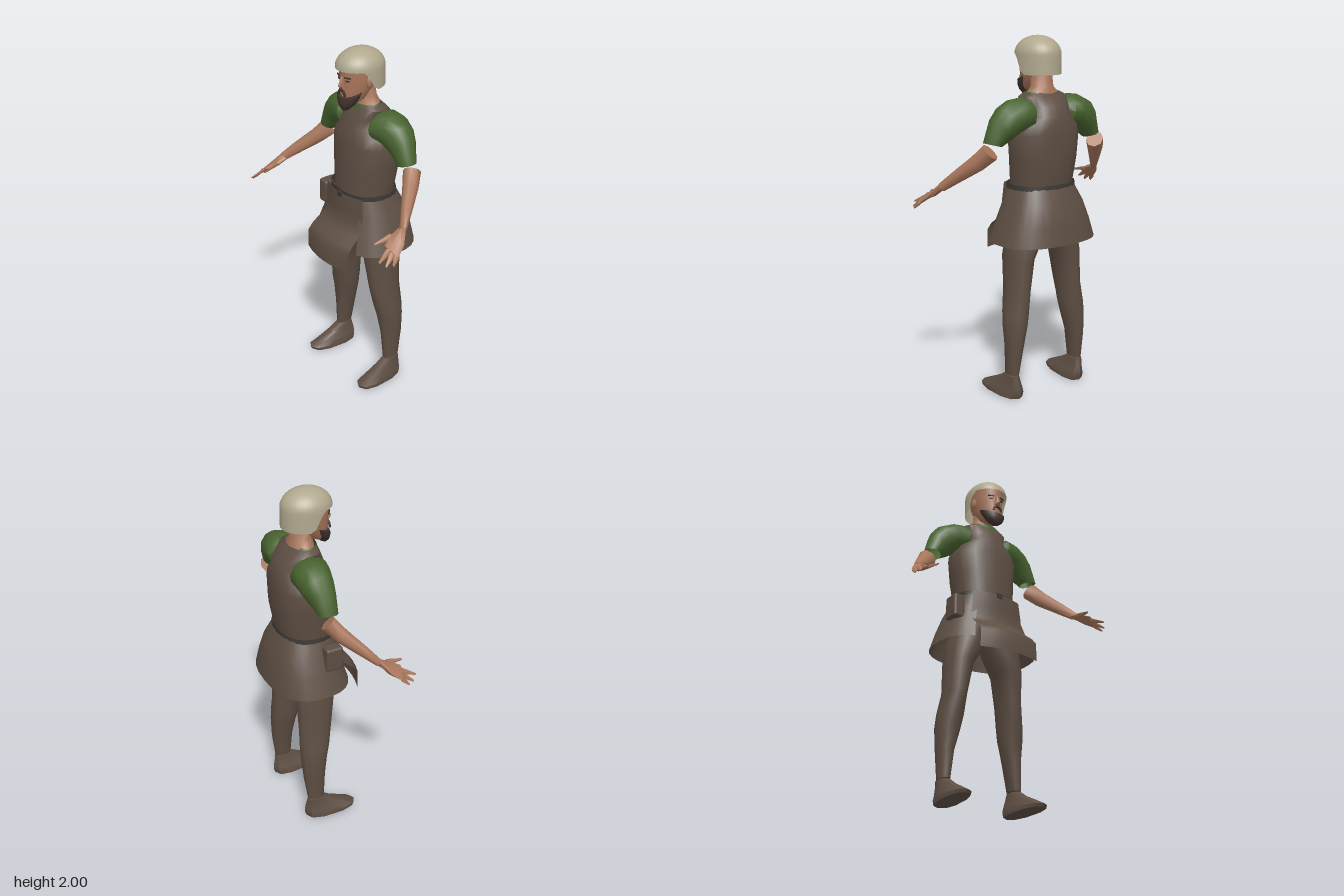
import * as THREE from 'three';
import { mergeVertices, toCreasedNormals } from 'three/addons/utils/BufferGeometryUtils.js';
import { RoundedBoxGeometry } from 'three/addons/geometries/RoundedBoxGeometry.js';

const mat = (name, color) => {
  const m = new THREE.MeshStandardMaterial({ color, side: THREE.DoubleSide });
  m.name = name;
  return m;
};
const M = {
  brown: mat('brown leather', 0x5d4e43),
  green: mat('green cloth', 0x48632f),
  skin: mat('skin', 0xa9775c),
  beard: mat('dark hair', 0x43342f),
  helmet: mat('pale helmet', 0xb0a88e),
  belt: mat('dark belt', 0x3d3835),
};

// Cross-section: centre c with half axes a and b
const sec = (c, a, b) => ({ c, a, b });
// Level cross-section between x0..x1 and zBack..zFront
const level = (y, x0, x1, zf, zb, skew = 0, tilt = 0) =>
  sec([(x0 + x1) / 2, y, (zf + zb) / 2], [(x1 - x0) / 2, 0, 0], [skew, tilt, (zf - zb) / 2]);
const body = (y, r, zf, zb, tilt = 0) => level(y, -r, r, zf, zb, 0, tilt);

// Skin a surface over cross-sections; gap leaves an opening at the front
function loft(sections, { n = 12, p = 1, gap = 0, caps = false, side = 1, crease = 0.9 } = {}) {
  const pos = [], idx = [];
  const cols = gap ? n + 1 : n;
  const pw = v => Math.sign(v) * Math.abs(v) ** p;
  for (const { c, a, b } of sections) {
    for (let i = 0; i < cols; i++) {
      const t = gap + (i / n) * (Math.PI * 2 - 2 * gap);
      const s = pw(Math.sin(t)), k = pw(Math.cos(t));
      pos.push(side * (c[0] + a[0] * s + b[0] * k), c[1] + a[1] * s + b[1] * k, c[2] + a[2] * s + b[2] * k);
    }
  }
  for (let r = 0; r < sections.length - 1; r++) {
    for (let i = 0; i < n; i++) {
      const j = (i + 1) % cols, u = r * cols, v = u + cols;
      idx.push(u + i, v + i, v + j, u + i, v + j, u + j);
    }
  }
  if (caps) {
    [0, sections.length - 1].forEach((r, e) => {
      const { c } = sections[r], m = pos.length / 3, u = r * cols;
      pos.push(side * c[0], c[1], c[2]);
      for (let i = 0; i < n; i++) {
        const j = (i + 1) % cols;
        if (e) idx.push(m, u + j, u + i);
        else idx.push(m, u + i, u + j);
      }
    });
  }
  // Turn the faces outward
  const P = i => new THREE.Vector3().fromArray(pos, i * 3);
  const mid = new THREE.Vector3();
  for (let i = 0; i < pos.length / 3; i++) mid.addScaledVector(P(i), 3 / pos.length);
  let vol = 0;
  for (let i = 0; i < idx.length; i += 3) {
    const [A, B, C] = [0, 1, 2].map(k => P(idx[i + k]).sub(mid));
    vol += A.dot(B.cross(C));
  }
  if (vol < 0) idx.reverse();
  const g = new THREE.BufferGeometry();
  g.setAttribute('position', new THREE.Float32BufferAttribute(pos, 3));
  g.setIndex(idx);
  return toCreasedNormals(g, crease);
}

// Dome with a brim that drops over the ears and nape
function helmetGeometry() {
  let g = new THREE.SphereGeometry(1, 28, 14, 0, Math.PI * 2, 0, Math.PI * 0.7);
  const p = g.attributes.position;
  for (let i = 0; i < p.count; i++) {
    const x = p.getX(i), y = p.getY(i), z = p.getZ(i);
    const r = Math.hypot(x, z) || 1, low = y < -1e-4;
    const k = low ? 1 / r : 1;
    const drop = 0.105 * THREE.MathUtils.smoothstep(-z / r, -0.4, 0.15);
    p.setXYZ(i, x * k * 0.119, low ? 1.9 + (drop * y) / 0.588 : 1.9 + 0.1 * y, -0.04 + z * k * 0.14);
  }
  g.deleteAttribute('uv');
  g.deleteAttribute('normal');
  g = mergeVertices(g, 1e-5);
  g.computeVertexNormals();
  return g;
}

// Hanging front panel, swept from a side profile of [y, z, half width]
function flapGeometry() {
  const rows = [[1.2, 0.1, 0.155], [1.1, 0.105, 0.165], [1.03, 0.105, 0.17], [0.99, 0.14, 0.175],
    [0.95, 0.19, 0.18], [0.91, 0.222, 0.183], [0.805, 0.222, 0.186]];
  const g = new THREE.PlaneGeometry(2, 1, 6, rows.length - 1);
  const p = g.attributes.position;
  for (let i = 0; i < p.count; i++) {
    const u = p.getX(i), [y, z, w] = rows[Math.floor(i / 7)];
    p.setXYZ(i, u * w, y, z - 0.034 * u * u);
  }
  g.computeVertexNormals();
  return g;
}

export function createModel() {
  const model = new THREE.Group();
  const add = (name, geo, m, at = [0, 0, 0]) => {
    const mesh = new THREE.Mesh(geo, m);
    mesh.name = name;
    mesh.position.set(...at);
    model.add(mesh);
    return mesh;
  };

  // Apron body, skirt, front panel, belt and pouch
  add('apronBody', loft([
    body(1.18, 0.172, 0.075, -0.21), body(1.35, 0.188, 0.072, -0.24), body(1.48, 0.202, 0.066, -0.24),
    body(1.53, 0.185, 0.06, -0.238), body(1.58, 0.135, 0.048, -0.23), body(1.63, 0.132, 0.028, -0.21),
    body(1.68, 0.145, 0.005, -0.16), body(1.7, 0.108, -0.005, -0.14)], { n: 20, p: 0.85 }), M.brown);
  add('skirt', loft([
    body(1.2, 0.178, 0.08, -0.215), body(1.1, 0.225, 0.095, -0.262),
    body(1.0, 0.264, 0.12, -0.285), body(0.89, 0.302, 0.155, -0.302)], { n: 22, p: 0.78, gap: 0.54 }), M.brown);
  add('frontPanel', flapGeometry(), M.brown);
  add('belt', loft([body(1.183, 0.195, 0.09, -0.222), body(1.21, 0.193, 0.09, -0.22)], { n: 22, p: 0.85 }), M.belt);
  add('buckle', new THREE.BoxGeometry(0.035, 0.03, 0.012), M.belt, [0, 1.19, 0.1]);
  add('pouch', new RoundedBoxGeometry(0.07, 0.14, 0.1, 2, 0.015), M.brown, [-0.23, 1.093, 0]);

  // Neck and head
  add('neck', loft([
    body(1.655, 0.125, -0.01, -0.15), body(1.7, 0.095, -0.01, -0.145), body(1.73, 0.064, -0.015, -0.135),
    body(1.83, 0.06, 0, -0.12)], { n: 14 }), M.skin);
  add('collar', loft([body(1.665, 0.13, 0.012, -0.155), body(1.705, 0.1, 0.002, -0.14)], { n: 14 }), M.green);
  add('face', loft([
    body(1.705, 0.035, 0.07, 0), body(1.735, 0.06, 0.075, -0.06), body(1.79, 0.074, 0.082, -0.12),
    body(1.83, 0.083, 0.078, -0.14), body(1.86, 0.086, 0.082, -0.15), body(1.92, 0.086, 0.08, -0.15)],
  { n: 16, caps: true }), M.skin);
  add('nose', loft([
    body(1.803, 0.018, 0.092, 0.06), body(1.815, 0.017, 0.104, 0.06), body(1.865, 0.008, 0.087, 0.06)],
  { n: 6, caps: true }), M.skin);
  add('beard', loft([
    body(1.682, 0.022, 0.078, 0.035, -0.005), body(1.71, 0.052, 0.09, 0, -0.012),
    body(1.74, 0.07, 0.093, -0.02, -0.015), body(1.772, 0.079, 0.087, -0.035, -0.024)],
  { n: 14, caps: true }), M.beard);
  const moustache = add('moustache', new THREE.TorusGeometry(0.027, 0.007, 5, 10, Math.PI), M.beard, [0, 1.762, 0.083]);
  moustache.scale.y = 1.1;
  add('helmet', helmetGeometry(), M.helmet);

  for (const s of [1, -1]) {
    const side = s > 0 ? 'left' : 'right';

    // Eyes, brows and ears
    add(side + 'Eye', new THREE.BoxGeometry(0.022, 0.007, 0.006), M.beard, [s * 0.036, 1.846, 0.072]).rotation.y = s * 0.4;
    add(side + 'Brow', new THREE.BoxGeometry(0.036, 0.006, 0.008), M.beard, [s * 0.038, 1.864, 0.073]).rotation.y = s * 0.4;
    add(side + 'Ear', new THREE.SphereGeometry(1, 8, 6), M.skin, [s * 0.092, 1.835, -0.03]).scale.set(0.014, 0.035, 0.022);

    // Short sleeve
    add(side + 'Sleeve', loft([
      sec([0.105, 1.6, -0.095], [0, 0.06, 0], [0, 0, 0.075]),
      sec([0.135, 1.595, -0.095], [0.015, 0.088, 0], [0, 0, 0.108]),
      sec([0.205, 1.587, -0.1], [0.015, 0.09, 0], [0, 0, 0.1]),
      sec([0.262, 1.555, -0.1], [0.035, 0.085, 0], [0, 0, 0.085]),
      sec([0.3, 1.515, -0.095], [0.045, 0.065, 0], [0, 0, 0.07]),
      sec([0.337, 1.443, -0.085], [0.049, 0.013, 0], [0, 0, 0.052])], { side: s }), M.green);

    // Forearm and hand
    add(side + 'Forearm', loft([
      sec([0.362, 1.41, -0.1], [0.046, 0.03, 0], [-0.014, 0.024, 0.036]),
      sec([0.41, 1.35, -0.05], [0.038, 0.027, 0], [-0.014, 0.022, 0.034]),
      sec([0.49, 1.265, 0.045], [0.026, 0.022, 0], [-0.01, 0.015, 0.023]),
      sec([0.538, 1.21, 0.105], [0.02, 0.016, 0], [-0.006, 0.012, 0.014])], { side: s, n: 8, caps: true }), M.skin);
    add(side + 'Palm', loft([
      sec([0.533, 1.215, 0.1], [0.022, 0.008, 0], [0, 0.015, 0.01]),
      sec([0.552, 1.175, 0.155], [0.045, -0.012, -0.01], [0, 0.015, 0.012]),
      sec([0.58, 1.14, 0.215], [0.04, -0.022, -0.014], [0, 0.011, 0.008])], { side: s, n: 8, caps: true }), M.skin);
    const fingers = [
      [[0.61, 1.125, 0.205], [0.627, 1.088, 0.24]], [[0.592, 1.135, 0.215], [0.612, 1.09, 0.275]],
      [[0.57, 1.145, 0.22], [0.588, 1.11, 0.3]], [[0.52, 1.185, 0.16], [0.505, 1.165, 0.262]]];
    fingers.forEach(([base, tip], i) => add(side + 'Finger' + (i + 1), loft([
      sec(base, [0.016, -0.006, -0.004], [0, 0.011, 0.007]),
      sec(tip, [0.005, -0.002, 0], [0, 0.004, 0.003])], { side: s, n: 6, caps: true }), M.skin));

    // Trouser leg
    add(side + 'Leg', loft([
      level(1.1, -0.01, 0.16, 0.05, -0.18), level(0.92, 0.008, 0.225, 0.05, -0.19),
      level(0.8, 0.085, 0.238, 0.042, -0.185), level(0.62, 0.118, 0.237, 0.022, -0.18),
      level(0.5, 0.126, 0.264, -0.002, -0.18), level(0.42, 0.138, 0.272, -0.022, -0.178),
      level(0.3, 0.172, 0.263, -0.036, -0.172), level(0.138, 0.195, 0.257, -0.045, -0.148)],
    { side: s, n: 12, caps: true }), M.brown);

    // Shoe
    add(side + 'Shoe', loft([
      level(0.132, 0.197, 0.259, -0.045, -0.147), level(0.095, 0.19, 0.264, 0.015, -0.155, 0.004),
      level(0.055, 0.178, 0.275, 0.1, -0.165, 0.008), level(0.028, 0.167, 0.29, 0.155, -0.165, 0.01),
      level(0.005, 0.167, 0.29, 0.145, -0.155, 0.01, 0.005)], { side: s, n: 10, p: 0.8, caps: true, crease: 0.6 }), M.brown);
  }
  return model;
}
